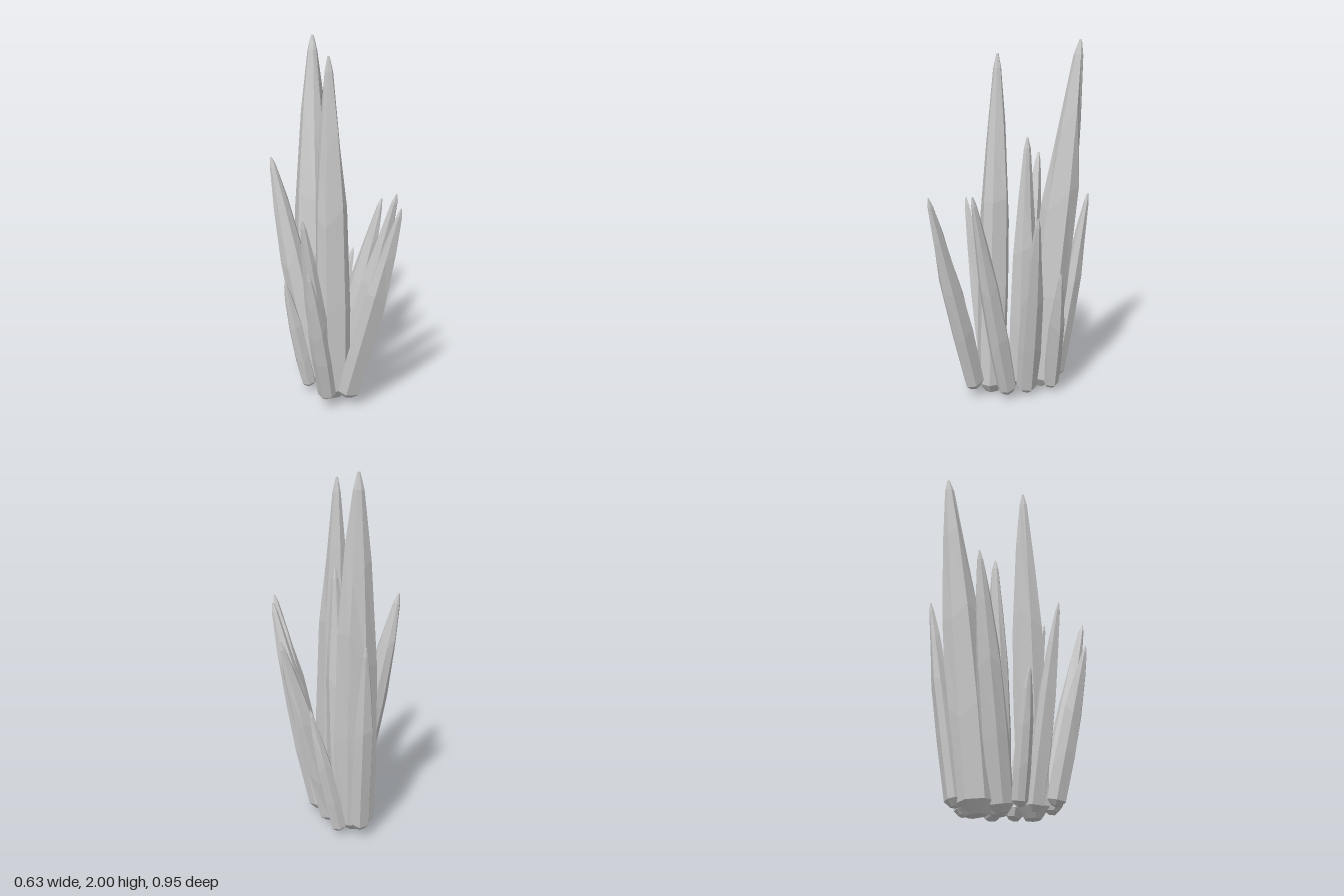
import * as THREE from 'three';

// name, base [x, y, z], tip [x, y, z], radius
const SHARDS = [
  ['tallBackShard', [-0.06, 0.01, -0.215], [0.035, 2.0, -0.4], 0.115],
  ['tallCentreShard', [-0.065, 0.01, 0.075], [-0.07, 1.93, 0.03], 0.095],
  ['middleShard', [-0.055, 0.02, -0.1], [0.01, 1.49, -0.11], 0.078],
  ['backRightShard', [-0.08, 0.03, -0.09], [-0.272, 1.36, -0.288], 0.075],
  ['leftShard', [0.03, 0.02, -0.105], [0.305, 1.11, -0.06], 0.066],
  ['frontShard', [-0.035, 0.06, 0.185], [0.118, 1.22, 0.47], 0.066],
  ['frontLeftShard', [0.035, 0.03, 0.01], [0.212, 1.23, 0.263], 0.066],
  ['rightShard', [-0.1, 0.04, 0.065], [-0.28, 1.12, 0.153], 0.055],
  ['frontRightShard', [-0.145, 0.07, 0.165], [-0.306, 0.875, 0.287], 0.054],
  ['smallRightShard', [-0.17, 0.05, -0.03], [-0.312, 0.72, -0.025], 0.043],
  ['smallLeftShard', [0.05, 0.03, -0.25], [0.214, 0.77, -0.233], 0.048],
  ['backShard', [-0.045, 0.05, -0.315], [0.02, 1.16, -0.472], 0.052],
];

// fraction of length, fraction of radius
const PROFILE = [[0, 0.5], [0.03, 0.92], [0.28, 1], [0.56, 0.9], [0.78, 0.58], [0.96, 0.24], [1, 0.06]];

function seeded(seed) {
  let s = seed * 7919 + 17;
  return () => (s = (s * 16807) % 2147483647) / 2147483647;
}

// Irregular faceted crystal lofted along the line from base to tip
function shardGeometry(base, tip, radius, seed) {
  const random = seeded(seed);
  for (let i = 0; i < 5; i++) random();
  const sides = radius > 0.07 ? 7 : 6;
  const start = new THREE.Vector3(...base);
  const axis = new THREE.Vector3(...tip).sub(start);
  const d = axis.clone().normalize();
  const u = new THREE.Vector3(0, 0, 1).cross(d).normalize();
  const v = d.clone().cross(u);
  const turn = random() * Math.PI;
  const corners = Array.from({ length: sides }, (_, i) => ({
    angle: turn + ((i + (random() - 0.5) * 0.4) / sides) * Math.PI * 2,
    scale: 0.93 + random() * 0.16,
  }));

  const positions = [];
  const index = [];
  const add = (p) => positions.push(p.x, p.y, p.z);
  PROFILE.forEach(([t, r], ring) => {
    for (const { angle, scale } of corners) {
      // corners wander a little along the length between the ends
      const slide = ring > 1 && ring < 5 ? (random() - 0.5) * 0.1 : 0;
      const rr = radius * r * scale * (0.96 + random() * 0.08);
      add(start.clone().addScaledVector(axis, t + slide)
        .addScaledVector(u, Math.cos(angle) * rr)
        .addScaledVector(v, Math.sin(angle) * rr));
    }
  });
  for (let k = 0; k < PROFILE.length - 1; k++) {
    for (let i = 0; i < sides; i++) {
      const a = k * sides + i;
      const b = k * sides + ((i + 1) % sides);
      index.push(a, b, a + sides, b, b + sides, a + sides);
    }
  }
  // close the root and the point
  const root = positions.length / 3;
  const last = (PROFILE.length - 1) * sides;
  add(start.clone().setY(Math.max(0, start.y - 0.01)));
  add(new THREE.Vector3(...tip));
  for (let i = 0; i < sides; i++) {
    const j = (i + 1) % sides;
    index.push(root, j, i, root + 1, last + i, last + j);
  }
  // keep the root on the ground
  for (let i = 1; i < positions.length; i += 3) positions[i] = Math.min(2, Math.max(0, positions[i]));

  const geometry = new THREE.BufferGeometry();
  geometry.setAttribute('position', new THREE.Float32BufferAttribute(positions, 3));
  geometry.setIndex(index);
  geometry.computeVertexNormals();
  return geometry;
}

export function createModel() {
  const model = new THREE.Group();
  model.name = 'crystalCluster';
  const material = new THREE.MeshStandardMaterial({ color: 0xcccccc, flatShading: true });
  SHARDS.forEach(([name, base, tip, radius], i) => {
    const shard = new THREE.Mesh(shardGeometry(base, tip, radius, i + 1), material);
    shard.name = name;
    model.add(shard);
  });
  return model;
}
